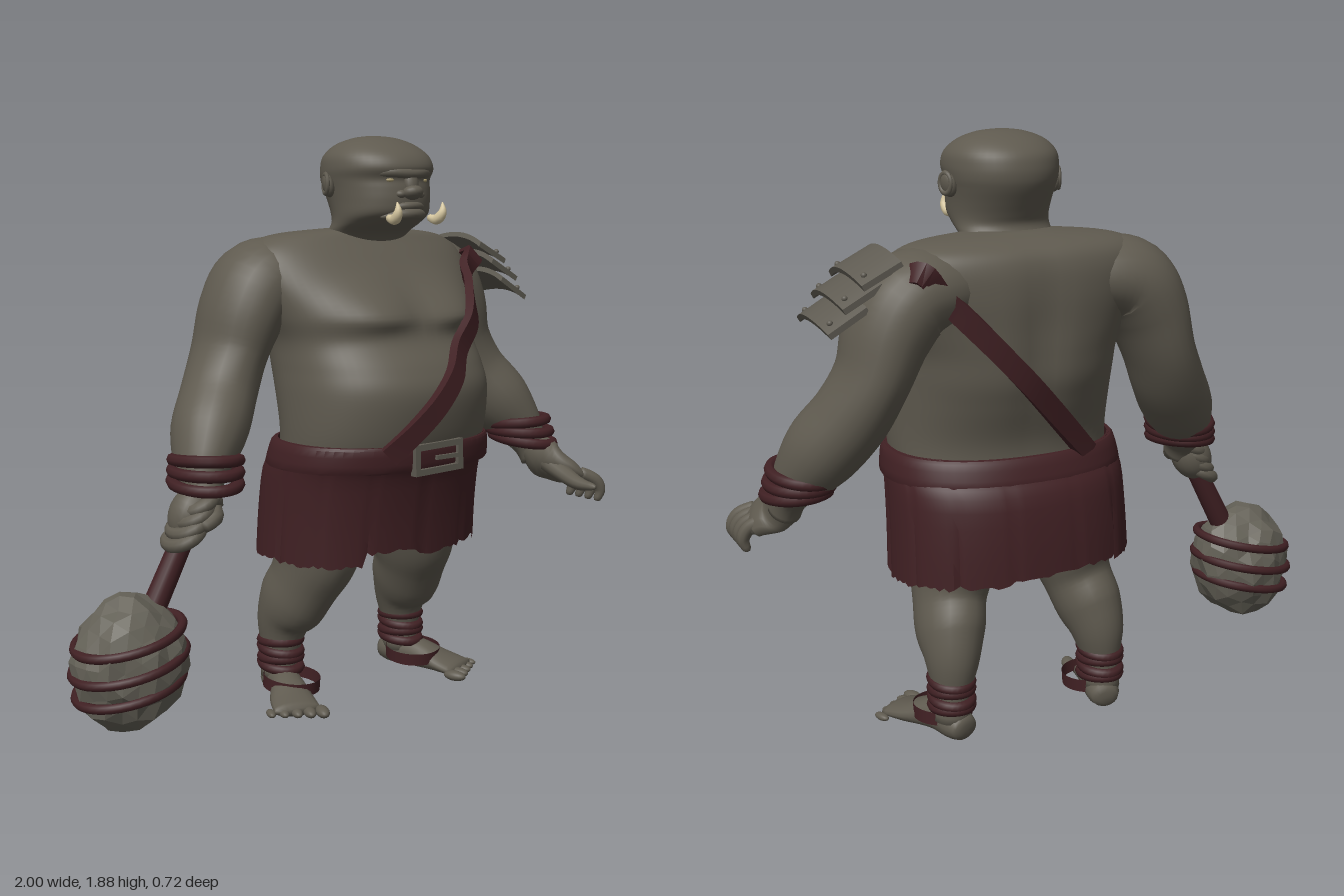
import * as THREE from 'three';
import { toCreasedNormals } from 'three/addons/utils/BufferGeometryUtils.js';

const V = (x, y, z) => new THREE.Vector3(x, y, z);
const hash = (n) => { const s = Math.sin(n * 127.1 + 3.7) * 43758.5453; return s - Math.floor(s); };
const sgnPow = (v, p) => Math.sign(v) * Math.abs(v) ** p;
const gauss = (v, w) => Math.exp(-((v / w) ** 2));

// Smooth interpolation of every column of a table of sections
function sample(rows, u) {
  const f = Math.min(Math.max(u, 0), 1) * (rows.length - 1);
  const i = Math.min(Math.floor(f), rows.length - 2), t = f - i;
  const at = (k) => rows[Math.min(Math.max(k, 0), rows.length - 1)];
  const [a, b, c, d] = [at(i - 1), at(i), at(i + 1), at(i + 2)];
  return b.map((_, k) => 0.5 * (2 * b[k] + (c[k] - a[k]) * t +
    (2 * a[k] - 5 * b[k] + 4 * c[k] - d[k]) * t * t + (3 * b[k] - a[k] - 3 * c[k] + d[k]) * t * t * t));
}

// Skin over rings of points; closed ends are optional
function loft(rings, capped = true) {
  const n = rings[0].length, pos = [], idx = [];
  rings.forEach((r) => r.forEach((p) => pos.push(p.x, p.y, p.z)));
  for (let j = 0; j < rings.length - 1; j++) for (let i = 0; i < n; i++) {
    const a = j * n + i, b = j * n + (i + 1) % n;
    idx.push(a, b, b + n, a, b + n, a + n);
  }
  if (capped) [0, rings.length - 1].forEach((j) => {
    const c = rings[j].reduce((s, p) => s.add(p), V(0, 0, 0)).divideScalar(n), k = pos.length / 3;
    pos.push(c.x, c.y, c.z);
    for (let i = 0; i < n; i++) {
      const a = j * n + i, b = j * n + (i + 1) % n;
      j ? idx.push(a, b, k) : idx.push(b, a, k);
    }
  });
  const g = new THREE.BufferGeometry();
  g.setAttribute('position', new THREE.Float32BufferAttribute(pos, 3));
  g.setIndex(idx);
  g.computeVertexNormals();
  return g;
}

// Limb from rows of [x, y, z, radius sideways, radius along ref]
function limb(rows, ref = V(0, 0, 1), rings = 20, sides = 16) {
  const out = [];
  for (let j = 0; j <= rings; j++) {
    const u = j / rings, p = sample(rows, u), q = sample(rows, u + 0.01), o = sample(rows, u - 0.01);
    const t = V(q[0] - o[0], q[1] - o[1], q[2] - o[2]).normalize();
    const side = ref.clone().cross(t).normalize(), b = t.clone().cross(side);
    const k = j === 0 || j === rings ? 0.6 : 1;
    out.push(Array.from({ length: sides }, (_, i) => {
      const a = i / sides * Math.PI * 2;
      return V(p[0], p[1], p[2]).addScaledVector(side, Math.cos(a) * p[3] * k).addScaledVector(b, Math.sin(a) * p[4] * k);
    }));
  }
  return loft(out);
}

// Upright body from rows of [y, half width, front z, back z]
const ringPoint = ([y, w, f, b], a, e) =>
  V(w * sgnPow(Math.sin(a), e), y, (f + b) / 2 + (f - b) / 2 * sgnPow(Math.cos(a), e));
function upright(rows, { rings = 48, sides = 48, e = 0.9, shape = (p) => p, capped = true } = {}) {
  return loft(Array.from({ length: rings + 1 }, (_, j) => Array.from({ length: sides }, (_, i) =>
    shape(ringPoint(sample(rows, j / rings), i / sides * Math.PI * 2, e), i, j / rings))), capped);
}

export function createModel() {
  const mat = (name, color, opt = {}) => { const m = new THREE.MeshStandardMaterial({ color, ...opt }); m.name = name; return m; };
  const skin = mat('skin', 0x5f5a4f), leather = mat('leather', 0x402023, { side: THREE.DoubleSide });
  const rock = mat('rock', 0x646157, { flatShading: true }), metal = mat('metal', 0x5e5a51);
  const ivory = mat('ivory', 0xd6c7a0), eyeMat = mat('eye', 0xa89a70);
  const model = new THREE.Group(), ogre = new THREE.Group();
  ogre.name = 'ogre';
  ogre.position.x = 0.16;
  model.add(ogre);
  const add = (name, geo, m, pos = [0, 0, 0], rot = [0, 0, 0], scale = [1, 1, 1]) => {
    const mesh = new THREE.Mesh(geo, m);
    mesh.name = name;
    mesh.position.set(...pos); mesh.rotation.set(...rot); mesh.scale.set(...scale);
    ogre.add(mesh);
    return mesh;
  };
  const ball = new THREE.SphereGeometry(1, 20, 14);

  // Torso with chest muscles and a spine groove
  const torso = [[0.57, 0.2, 0.04, -0.24], [0.64, 0.31, 0.14, -0.3], [0.75, 0.35, 0.22, -0.29], [0.85, 0.355, 0.265, -0.26], [0.95, 0.36, 0.3, -0.26],
    [1.07, 0.36, 0.318, -0.3], [1.15, 0.357, 0.29, -0.325], [1.23, 0.36, 0.235, -0.333], [1.31, 0.39, 0.195, -0.335], [1.41, 0.425, 0.125, -0.335],
    [1.49, 0.43, 0.06, -0.325], [1.54, 0.39, 0.015, -0.3], [1.568, 0.3, -0.01, -0.25], [1.585, 0.1, -0.03, -0.18]];
  const muscles = (p) => {
    if (p.z > 0) p.z += 0.05 * gauss(Math.abs(p.x) - 0.16, 0.14) * gauss(p.y - 1.31, p.y < 1.31 ? 0.045 : 0.1) * Math.min(1, p.z / 0.1);
    else if (p.z < -0.2) p.z += 0.022 * gauss(p.x, 0.06) * gauss(p.y - 1.27, 0.22);
    return p;
  };
  add('torso', upright(torso, { rings: 80, sides: 64, shape: muscles }), skin);

  // Head, face and ears
  add('head', upright([[1.5, 0.13, -0.01, -0.2], [1.565, 0.148, 0.03, -0.165], [1.6, 0.153, 0.1, -0.15], [1.63, 0.157, 0.15, -0.16],
    [1.67, 0.161, 0.16, -0.18], [1.71, 0.167, 0.157, -0.2], [1.74, 0.173, 0.152, -0.209], [1.775, 0.178, 0.167, -0.209],
    [1.815, 0.17, 0.145, -0.195], [1.85, 0.135, 0.092, -0.152], [1.872, 0.078, 0.035, -0.095], [1.88, 0.02, -0.02, -0.05]], { e: 0.96 }), skin);
  add('brow', limb([[-0.14, 1.755, 0.07, 0.012, 0.012], [-0.07, 1.76, 0.136, 0.016, 0.016], [0, 1.756, 0.158, 0.016, 0.016],
    [0.07, 1.76, 0.136, 0.016, 0.016], [0.14, 1.755, 0.07, 0.012, 0.012]], V(0, 1, 0)), skin);
  add('nose', ball, skin, [0, 1.697, 0.16], [-0.25, 0, 0], [0.036, 0.023, 0.034]);
  add('noseBridge', ball, skin, [0, 1.725, 0.152], [-0.2, 0, 0], [0.026, 0.045, 0.022]);
  [[1.653, 0.085, 0.012], [1.628, 0.09, 0.016]].forEach(([y, w, r], i) => add(i ? 'lowerLip' : 'upperLip',
    limb([[-w, y - 0.008, 0.11, 0.006, 0.006], [-w / 2, y, 0.147, r, r], [0, y + 0.003, 0.164, r, r], [w / 2, y, 0.147, r, r],
      [w, y - 0.008, 0.11, 0.006, 0.006]], V(0, 1, 0)), skin));
  for (const s of [-1, 1]) {
    add('nostril', ball, skin, [s * 0.038, 1.692, 0.145], [0, 0, 0], [0.02, 0.014, 0.02]);
    add('eye', ball, eyeMat, [s * 0.07, 1.736, 0.131], [0, s * 0.35, 0], [0.015, 0.007, 0.011]);
    add('tusk', limb([[s * 0.085, 1.62, 0.14, 0.01, 0.01], [s * 0.088, 1.613, 0.178, 0.017, 0.017], [s * 0.092, 1.636, 0.2, 0.014, 0.014],
      [s * 0.094, 1.668, 0.197, 0.002, 0.002]], V(1, 0, 0), 14, 10), ivory);
    add('ear', ball, skin, [s * 0.18, 1.72, -0.045], [0, s * 0.35, -s * 0.2], [0.018, 0.038, 0.03]);
    add('earRim', new THREE.TorusGeometry(0.024, 0.007, 8, 20), skin, [s * 0.19, 1.725, -0.045], [0, Math.PI / 2 + s * 0.35, 0], [1, 1.25, 1]);
  }

  for (const s of [-1, 1]) {
    const side = s > 0 ? 'left' : 'right';
    const mirror = (rows) => rows.map(([x, ...r]) => [s * x, ...r]);
    // Arm and wrist bands
    add(side + 'Arm', limb(mirror([[0.12, 1.43, -0.16, 0.09, 0.1], [0.26, 1.435, -0.17, 0.12, 0.145], [0.37, 1.41, -0.17, 0.138, 0.165],
      [0.435, 1.32, -0.17, 0.13, 0.165], [0.485, 1.19, -0.17, 0.11, 0.15], [0.545, 1.07, -0.14, 0.115, 0.135],
      [0.62, 0.96, -0.08, 0.115, 0.13], [0.675, 0.87, -0.03, 0.085, 0.1], [0.7, 0.8, 0.01, 0.058, 0.065], [0.71, 0.74, 0.04, 0.05, 0.06]]), V(0, 0, 1), 44, 24), skin);
    [0.885, 0.852, 0.82].forEach((y, i) => add(side + 'WristBand', new THREE.TorusGeometry(0.1, 0.019, 8, 32), leather,
      [s * (0.665 + i * 0.008), y, -0.03 + i * 0.01], [Math.PI / 2 + 0.08 * (i - 1), s * 0.06 * (1 - i), 0], [0.95, 1.2, 1]));

    // Leg and shin wraps
    add(side + 'Leg', limb(mirror([[0.19, 0.75, -0.06, 0.13, 0.17], [0.2, 0.6, -0.07, 0.14, 0.185], [0.212, 0.5, -0.085, 0.125, 0.17],
      [0.23, 0.42, -0.112, 0.112, 0.138], [0.248, 0.34, -0.158, 0.106, 0.132], [0.26, 0.26, -0.196, 0.086, 0.1],
      [0.268, 0.15, -0.205, 0.06, 0.072], [0.27, 0.05, -0.21, 0.06, 0.07]]), V(0, 0, 1), 32, 24), skin);
    [0.195, 0.165, 0.135, 0.108].forEach((y, i) => add(side + 'ShinWrap', new THREE.TorusGeometry(0.061, 0.017, 8, 28), leather,
      [s * 0.267, y, -0.203], [Math.PI / 2 + (i % 2 ? 0.1 : -0.08), 0, 0], [0.98, 1.2, 1]));
    add(side + 'Anklet', new THREE.CylinderGeometry(0.094, 0.094, 0.042, 32, 1, true), leather,
      [s * 0.27, 0.065, -0.135], [0.06, 0, s * 0.04], [1, 1, 1.08]);

    // Foot and toes, turned outward
    add(side + 'Foot', limb(mirror([[0.25, 0.045, -0.28, 0.04, 0.035], [0.262, 0.052, -0.235, 0.056, 0.05], [0.29, 0.055, -0.14, 0.056, 0.053],
      [0.335, 0.034, -0.04, 0.075, 0.032], [0.36, 0.022, 0.03, 0.08, 0.02]]), V(0, 1, 0), 18, 18), skin);
    for (let i = 0; i < 5; i++) add(side + 'Toe', ball, skin, [s * (0.292 + i * 0.036), 0.018, 0.068 - i * 0.022], [0, s * 0.35, 0],
      [0.022 - i * 0.0018, 0.018 - i * 0.0015, 0.042 - i * 0.003]);
  }

  // Open left hand
  add('leftPalm', limb([[0.703, 0.79, 0.03, 0.055, 0.055], [0.712, 0.745, 0.09, 0.055, 0.09], [0.75, 0.71, 0.14, 0.042, 0.095], [0.78, 0.69, 0.16, 0.026, 0.08]]), skin);
  add('leftThumb', limb([[0.69, 0.75, 0.1, 0.036, 0.036], [0.685, 0.715, 0.2, 0.032, 0.03], [0.675, 0.695, 0.28, 0.025, 0.023], [0.67, 0.695, 0.36, 0.01, 0.01]], V(0, 1, 0), 14, 10), skin);
  for (let i = 0; i < 4; i++) {
    const z = 0.225 - i * 0.045;
    add('leftFinger', limb([[0.75, 0.715, z - 0.02, 0.023, 0.023], [0.8, 0.69, z + 0.01, 0.023, 0.023],
      [0.822, 0.65, z + 0.02, 0.02, 0.02], [0.81, 0.61, z + 0.015, 0.012, 0.012]], V(0, 0, 1), 14, 10), skin);
  }

  // Right fist around the handle
  const tilt = -0.49;
  add('rightFist', ball, skin, [-0.747, 0.735, 0.015], [0, 0, tilt], [0.07, 0.09, 0.068]);
  for (let i = 0; i < 4; i++) add('rightFinger', new THREE.TorusGeometry(0.052, 0.022, 10, 24), skin,
    [-0.732 - i * 0.017, 0.772 - i * 0.033, 0.025], [Math.PI / 2, -tilt, 0], [1, 1.1, 1]);
  add('rightThumb', limb([[-0.69, 0.76, 0.04, 0.025, 0.025], [-0.71, 0.73, 0.09, 0.025, 0.025], [-0.76, 0.705, 0.1, 0.018, 0.018]], V(0, 1, 0), 12, 10), skin);

  // Club: handle, stone and binding straps
  add('clubHandle', new THREE.CylinderGeometry(0.033, 0.04, 0.52, 16), leather, [-0.825, 0.575, 0.015], [0, 0, tilt]);
  const stone = new THREE.IcosahedronGeometry(1, 3), sp = stone.attributes.position;
  for (let i = 0; i < sp.count; i++) {
    const p = V().fromBufferAttribute(sp, i);
    const k = 0.91 + 0.12 * hash(Math.round(p.x * 50) + Math.round(p.y * 50) * 1.7 + Math.round(p.z * 50) * 2.3);
    sp.setXYZ(i, p.x * k * 0.182, p.y * k * 0.21, p.z * k * 0.162);
  }
  stone.computeVertexNormals();
  add('clubStone', stone, rock, [-0.97, 0.312, 0.015], [0, 0, -0.12]);
  [[0.395, 0.163], [0.318, 0.172], [0.245, 0.163]].forEach(([y, r]) => add('clubStrap', new THREE.TorusGeometry(r, 0.015, 8, 40), leather,
    [-0.972, y, 0.015], [Math.PI / 2, 0.2, 0], [1.02, 0.93, 1]));

  // Ragged skirt of overlapping panels
  const skirt = [[0.91, 0.37, 0.285, -0.268], [0.86, 0.382, 0.28, -0.285], [0.8, 0.387, 0.25, -0.33], [0.67, 0.39, 0.225, -0.352], [0.55, 0.393, 0.212, -0.36]];
  const panelled = (p, i, u) => {
    const n = Math.floor(i / 10), edge = i % 10 === 0 ? -1 : 0, k = 1 + u * (0.028 * hash(n) + 0.015 * edge);
    const drop = u > 0.6 ? (u - 0.6) / 0.4 : 0;
    return V(p.x * k, p.y - drop * (0.045 * hash(n + 9) - 0.015 + 0.014 * hash(i)), (p.z + 0.05) * k - 0.05);
  };
  add('skirt', toCreasedNormals(upright(skirt, { rings: 12, sides: 130, shape: panelled, capped: false }), 0.5), leather);

  // Belt and buckle
  add('belt', toCreasedNormals(upright([[0.825, 0.385, 0.275, -0.3], [0.83, 0.395, 0.288, -0.308], [0.9, 0.383, 0.295, -0.284], [0.91, 0.362, 0.28, -0.265]],
    { rings: 9, sides: 64, capped: false }), 0.5), leather);
  const frame = new THREE.Shape([[-0.1, -0.05], [0.1, -0.05], [0.1, 0.05], [-0.1, 0.05]].map(([x, y]) => new THREE.Vector2(x, y)));
  frame.holes.push(new THREE.Path([[-0.08, -0.03], [-0.08, 0.03], [0.08, 0.03], [0.08, -0.03]].map(([x, y]) => new THREE.Vector2(x, y))));
  add('buckle', new THREE.ExtrudeGeometry(frame, { depth: 0.025, bevelEnabled: false }), metal, [0.002, 0.865, 0.277], [0, 0, 0.03]);
  add('bucklePin', new THREE.BoxGeometry(0.1, 0.014, 0.012), metal, [0.04, 0.865, 0.297]);

  // Shoulder strap that follows the torso front and back, tucked under the plates
  const onTorso = (x, y, front) => {
    let u = 0;
    while (u < 1 && sample(torso, u)[0] < y) u += 0.002;
    const row = sample(torso, u), e = 0.9, a = Math.asin(Math.min(0.93, Math.abs(x) / row[1]) ** (1 / e));
    const p = muscles(ringPoint(row, front ? a : Math.PI - a, e));
    return V(x, y, p.z + (front ? 0.015 : -0.018));
  };
  const path = [];
  for (let i = 0; i <= 7; i++) path.push(onTorso(-0.18 + i * 0.076, 0.88 + i * 0.081, true));
  path.push(V(0.405, 1.488, 0.01), V(0.42, 1.47, -0.07), V(0.41, 1.47, -0.2), V(0.375, 1.5, -0.305));
  for (let i = 0; i <= 6; i++) path.push(onTorso(0.31 - i * 0.085, 1.43 - i * 0.091, false));
  const curve = new THREE.CatmullRomCurve3(path);
  const bands = Array.from({ length: 91 }, (_, j) => {
    const p = curve.getPoint(j / 90), t = curve.getTangent(j / 90);
    const n = V(p.x * 0.5, Math.max(0, p.y - 1.4) * 2.2, p.z + 0.06).normalize();
    const w = n.clone().cross(t).normalize(), o = t.clone().cross(w);
    return [[-1, -1], [1, -1], [1, 1], [-1, 1]].map(([a, b]) => p.clone().addScaledVector(w, a * 0.033).addScaledVector(o, b * 0.014));
  });
  add('shoulderStrap', toCreasedNormals(loft(bands), 0.7), leather);

  // Three arched shoulder plates with rivets
  [[0.49, 1.527], [0.55, 1.466], [0.597, 1.4]].forEach(([x, y], i) => {
    const plate = new THREE.BoxGeometry(0.135, 0.018, 0.29, 1, 1, 14), p = plate.attributes.position;
    for (let k = 0; k < p.count; k++) p.setY(k, p.getY(k) - 1.7 * p.getZ(k) ** 2);
    plate.computeVertexNormals();
    const mesh = add('shoulderPlate', toCreasedNormals(plate, 0.6), metal, [x, y, -0.11], [0, 0, -0.47 - i * 0.03]);
    for (const z of [-0.115, 0.115]) {
      const rivet = new THREE.Mesh(ball, metal);
      rivet.name = 'rivet';
      rivet.position.set(0.04, 0.01 - 1.7 * z * z, z);
      rivet.scale.setScalar(0.009);
      mesh.add(rivet);
    }
  });
  return model;
}
